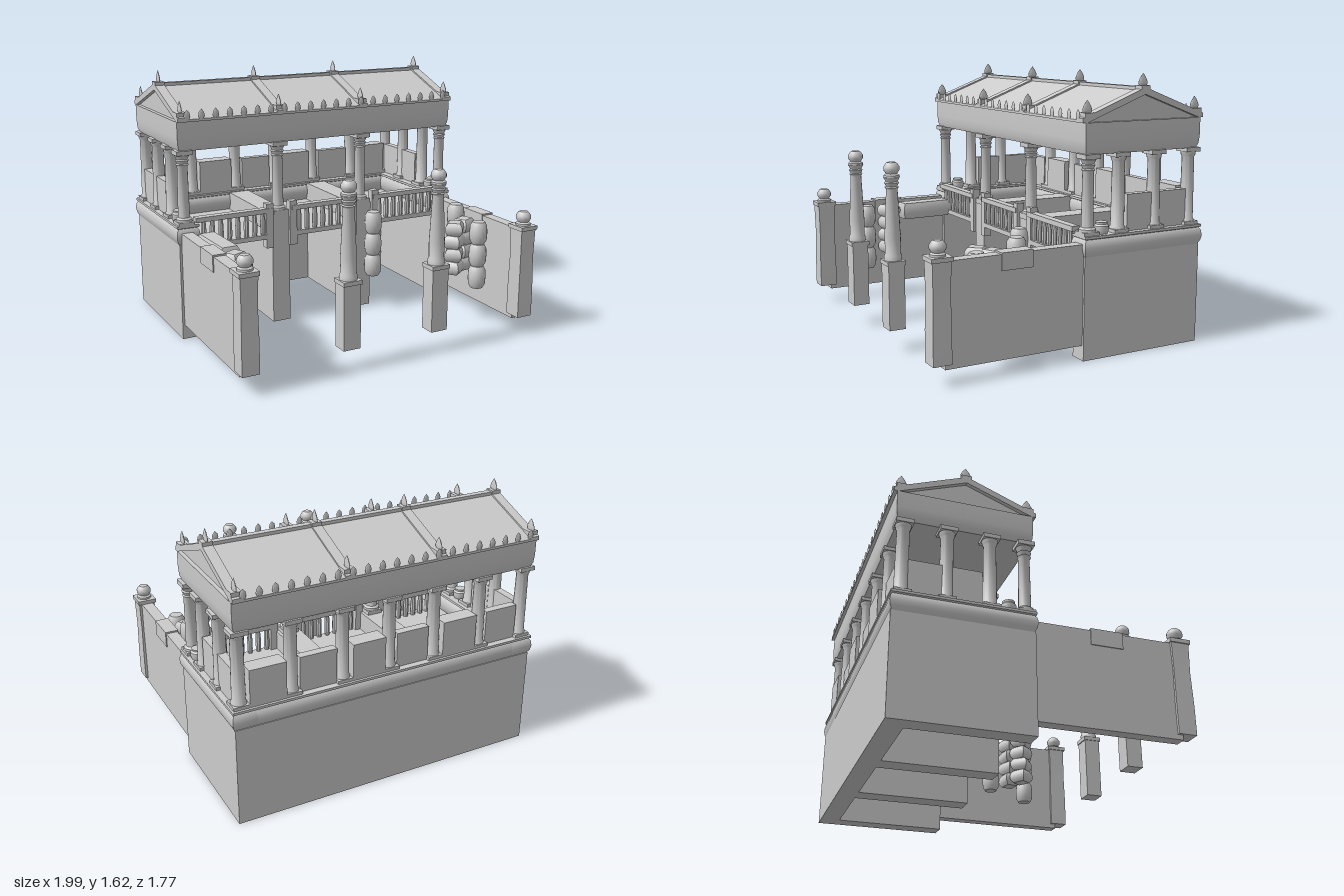
import * as THREE from 'three';
import { toCreasedNormals } from 'three/addons/utils/BufferGeometryUtils.js';

const material = new THREE.MeshStandardMaterial({ color: 0xcccccc, side: THREE.DoubleSide });

export function createModel() {
  const model = new THREE.Group();

  const add = (name, geometry, x = 0, y = 0, z = 0, ry = 0) => {
    const mesh = new THREE.Mesh(geometry, material);
    mesh.name = name;
    mesh.position.set(x, y, z);
    mesh.rotation.y = ry;
    model.add(mesh);
    return mesh;
  };
  // Box given by its extents
  const block = (name, x0, x1, y0, y1, z0, z1) =>
    add(name, new THREE.BoxGeometry(x1 - x0, y1 - y0, z1 - z0), (x0 + x1) / 2, (y0 + y1) / 2, (z0 + z1) / 2);
  // Rectangular block whose sides follow a profile of [inset, y]
  const loft = (w, d, profile) => {
    const n = profile.length - 1;
    const g = new THREE.BoxGeometry(w, 1, d, 1, n, 1);
    const p = g.attributes.position;
    for (let i = 0; i < p.count; i++) {
      const [inset, y] = profile[Math.round((p.getY(i) + 0.5) * n)];
      p.setXYZ(i, Math.sign(p.getX(i)) * (w / 2 - inset), y, Math.sign(p.getZ(i)) * (d / 2 - inset));
    }
    return toCreasedNormals(g, 0.7);
  };
  const lathe = (profile, sides = 20) =>
    toCreasedNormals(new THREE.LatheGeometry(profile.map(([r, y]) => new THREE.Vector2(r, y)), sides), 0.7);

  // Lower storey, open at the front, with two partitions
  for (const s of [-1, 1]) {
    const side = block('sideWall', 0.87, 0.98, 0, 0.61, -0.87, -0.06);
    side.position.x *= s;
    block('partitionWall', s * 0.3 - 0.06, s * 0.3 + 0.06, 0, 0.6, -0.75, -0.06);
    block('partitionTop', s * 0.3 - 0.07, s * 0.3 + 0.07, 0.6, 0.72, -0.78, -0.06);
  }
  block('backWall', -0.98, 0.98, 0, 0.61, -0.87, -0.75);
  block('upperFloor', -0.88, 0.88, 0.57, 0.6, -0.78, -0.06);

  // Bulging ledge around the sides and back
  const bulge = [[0.02, 0.6], [0.005, 0.63], [0, 0.66], [0.005, 0.69], [0.015, 0.705], [0.005, 0.71], [0.005, 0.725]];
  for (const s of [-1, 1]) add('sideLedge', loft(0.15, 0.83, bulge), s * 0.922, 0, -0.465);
  add('backLedge', loft(1.99, 0.15, bulge), 0, 0, -0.805);

  // Columns
  const plainShaft = lathe([[0, 0.74], [0.046, 0.74], [0.046, 0.752], [0.04, 0.762], [0.036, 1.13],
    [0.042, 1.14], [0.046, 1.16], [0, 1.16]]);
  const plainColumn = (x, z) => {
    add('columnShaft', plainShaft, x, 0, z);
    block('columnBase', x - 0.05, x + 0.05, 0.715, 0.745, z - 0.05, z + 0.05);
    block('columnCap', x - 0.05, x + 0.05, 1.16, 1.185, z - 0.05, z + 0.05);
  };
  const leafCapital = (r, y) => [[r, y], [r * 1.25, y + 0.012], [r, y + 0.018], [r * 1.3, y + 0.038],
    [r * 1.05, y + 0.044], [r * 1.45, y + 0.07], [r * 1.1, y + 0.074]];
  const frontShaft = lathe([[0, 0.74], [0.05, 0.74], [0.05, 0.76], [0.036, 0.77], ...leafCapital(0.032, 1.085), [0, 1.16]]);
  const backX = [-0.93, -0.62, -0.3, 0, 0.3, 0.62, 0.93];
  for (const x of backX) plainColumn(x, -0.81);
  for (const x of [-0.93, 0.93]) for (const z of [-0.31, -0.56]) plainColumn(x, z);
  for (const x of [-0.93, -0.3, 0.3, 0.93]) {
    add('frontColumn', frontShaft, x, 0, -0.105);
    block('frontColumnBase', x - 0.05, x + 0.05, 0.71, 0.745, -0.155, -0.055);
    block('frontColumnCap', x - 0.05, x + 0.05, 1.158, 1.185, -0.155, -0.055);
  }

  // Parapet panels between the rear columns
  for (let i = 0; i < 6; i++) {
    const thick = i % 2 ? 0.05 : 0.025;
    block('backPanel', backX[i] + 0.045, backX[i + 1] - 0.045, 0.72, i % 2 ? 0.95 : 0.94, -0.81 - thick, -0.81 + thick);
  }
  for (const x of [-0.93, 0.93]) {
    block('sidePanel', x - 0.025, x + 0.025, 0.72, 0.94, -0.78, -0.36);
    add('ledgePot', lathe([[0, 0.72], [0.034, 0.72], [0.043, 0.74], [0.043, 0.77], [0.034, 0.78], [0.036, 0.792], [0, 0.792]]), x, 0, -0.2);
  }

  // Front balustrade in three bays
  const baluster = lathe([[0.014, 0.59], [0.018, 0.63], [0.018, 0.68], [0.013, 0.75]], 8);
  for (const [a, b] of [[-0.88, -0.37], [-0.23, 0.23], [0.37, 0.88]]) {
    block('topRail', a, b, 0.74, 0.77, -0.085, -0.035);
    block('bottomRail', a, b, 0.57, 0.6, -0.08, -0.04);
    const n = Math.round((b - a) / 0.058);
    for (let i = 1; i < n; i++) add('baluster', baluster, a + (b - a) * i / n, 0, -0.06);
  }
  for (const x of [-0.385, -0.22, 0.22, 0.385]) block('railPost', x - 0.025, x + 0.025, 0.51, 0.8, -0.09, -0.04);

  // Entablature
  add('entablature', loft(1.94, 0.8, [[0.015, 1.18], [0.004, 1.21], [0, 1.26], [0, 1.36]]), 0, 0, -0.46);

  // Gable roof: recessed pediment under two slabs
  const gable = (name, pts, x0, x1) => {
    const shape = new THREE.Shape(pts.map(([z, y]) => new THREE.Vector2(z, y)));
    const g = new THREE.ExtrudeGeometry(shape, { depth: x1 - x0, bevelEnabled: false });
    g.rotateY(-Math.PI / 2); // shape x becomes z, depth becomes -x
    return add(name, g, x1, 0, -0.46);
  };
  gable('pediment', [[-0.39, 1.36], [0.39, 1.36], [0, 1.51]], -0.945, 0.945);
  const slab = (lift) => [[-0.42, 1.36], [-0.39, 1.36], [0, 1.505], [0.39, 1.36], [0.42, 1.36],
    [0.42, 1.375 + lift], [0, 1.535 + lift], [-0.42, 1.375 + lift]];
  gable('roofSlabs', slab(0), -0.965, 0.965);
  const ribX = [-0.94, -0.295, 0.29, 0.94];
  for (const x of ribX) gable('roofRib', slab(0.01), x - 0.03, x + 0.03);
  block('roofRidge', -0.965, 0.965, 1.525, 1.547, -0.48, -0.44);

  // Flattened finials on the ribs
  const finial = lathe([[0, 0], [0.02, 0], [0.032, 0.02], [0.03, 0.035], [0.018, 0.058], [0, 0.08]], 14);
  for (const x of ribX) for (const [z, y] of [[-0.085, 1.39], [-0.46, 1.53], [-0.835, 1.39]]) {
    block('finialBase', x - 0.03, x + 0.03, y - 0.01, y + 0.025, z - 0.03, z + 0.03);
    add('finial', finial, x, y + 0.015, z).scale.x = 0.25;
  }
  // Small upright ornaments along both eaves
  const ornament = lathe([[0.014, 0], [0.02, 0.02], [0.016, 0.04], [0, 0.058]], 8);
  for (const z of [-0.045, -0.875]) for (let i = 0; i < 21; i++)
    add('eaveOrnament', ornament, -0.91 + i * 0.091, 1.375, z).scale.z = 0.3;

  // Forecourt walls, end posts and cloths laid over the walls
  const urn = [[0, 0], [0.045, 0], [0.045, 0.012], [0.032, 0.02], [0.046, 0.04], [0.046, 0.06], [0.034, 0.078], [0.026, 0.085], [0, 0.085]];
  const urnGeometry = lathe(urn);
  for (const s of [-1, 1]) {
    const x = s * 0.93;
    block('forecourtWall', x - 0.036, x + 0.036, 0.09, 0.68, -0.06, 0.8);
    add('wallPost', loft(0.105, 0.11, [[0, 0.12], [0, 0.3], [0.004, 0.5], [0, 0.68]]), x, 0, 0.822);
    block('wallPostCap', x - 0.06, x + 0.06, 0.68, 0.705, 0.757, 0.885);
    add('wallPostUrn', urnGeometry, x, 0.705, 0.822);
    block('wallCloth', x - 0.042, x + 0.042, 0.59, 0.69, 0.27, 0.465);
  }

  // Free-standing columns on pedestals
  const freeShaft = lathe([[0, 0.55], [0.052, 0.55], [0.052, 0.575], [0.045, 0.59], [0.047, 0.68],
    ...leafCapital(0.033, 0.965), [0.045, 1.04], [0, 1.04]]);
  for (const x of [-0.3, 0.295]) {
    add('pedestal', loft(0.11, 0.1, [[0, 0.14], [0, 0.53]]), x, 0, 0.815);
    block('pedestalCap', x - 0.06, x + 0.06, 0.525, 0.55, 0.758, 0.872);
    add('freeColumn', freeShaft, x, 0, 0.815);
    add('freeColumnUrn', urnGeometry, x, 1.035, 0.815);
  }

  // Hanging strings of round lanterns
  const lantern = lathe([[0, 0], [0.04, 0], [0.054, 0.025], [0.057, 0.07], [0.054, 0.12], [0.04, 0.145], [0, 0.145]]);
  for (const [x, z, y0] of [[-0.825, 0.55, 0.23], [0.81, 0.535, 0.23], [0.81, 0.285, 0.29], [0.345, 0.005, 0.23]])
    for (let i = 0; i < 3; i++) add('roundLantern', lantern, x, y0 + i * 0.147, z);

  // Stacked cushions beside the walls
  const cushion = loft(0.12, 0.11, [[0.018, 0], [0.004, 0.02], [0, 0.042], [0.004, 0.064], [0.018, 0.084]]);
  for (const [x, z, turn] of [[-0.81, 0.395, 0.2], [0.675, 0.465, 0.6], [0.78, 0.415, 0.15]])
    for (let i = 0; i < 4; i++) add('cushion', cushion, x, 0.325 + i * 0.086, z, turn + (i % 2) * 0.25);

  // Long bolster along the inside of the right wall
  add('bolster', loft(0.12, 0.36, [[0.012, 0.56], [0, 0.6], [0, 0.64], [0.012, 0.67]]), -0.805, 0, 0.13, 0.04);

  return model;
}
